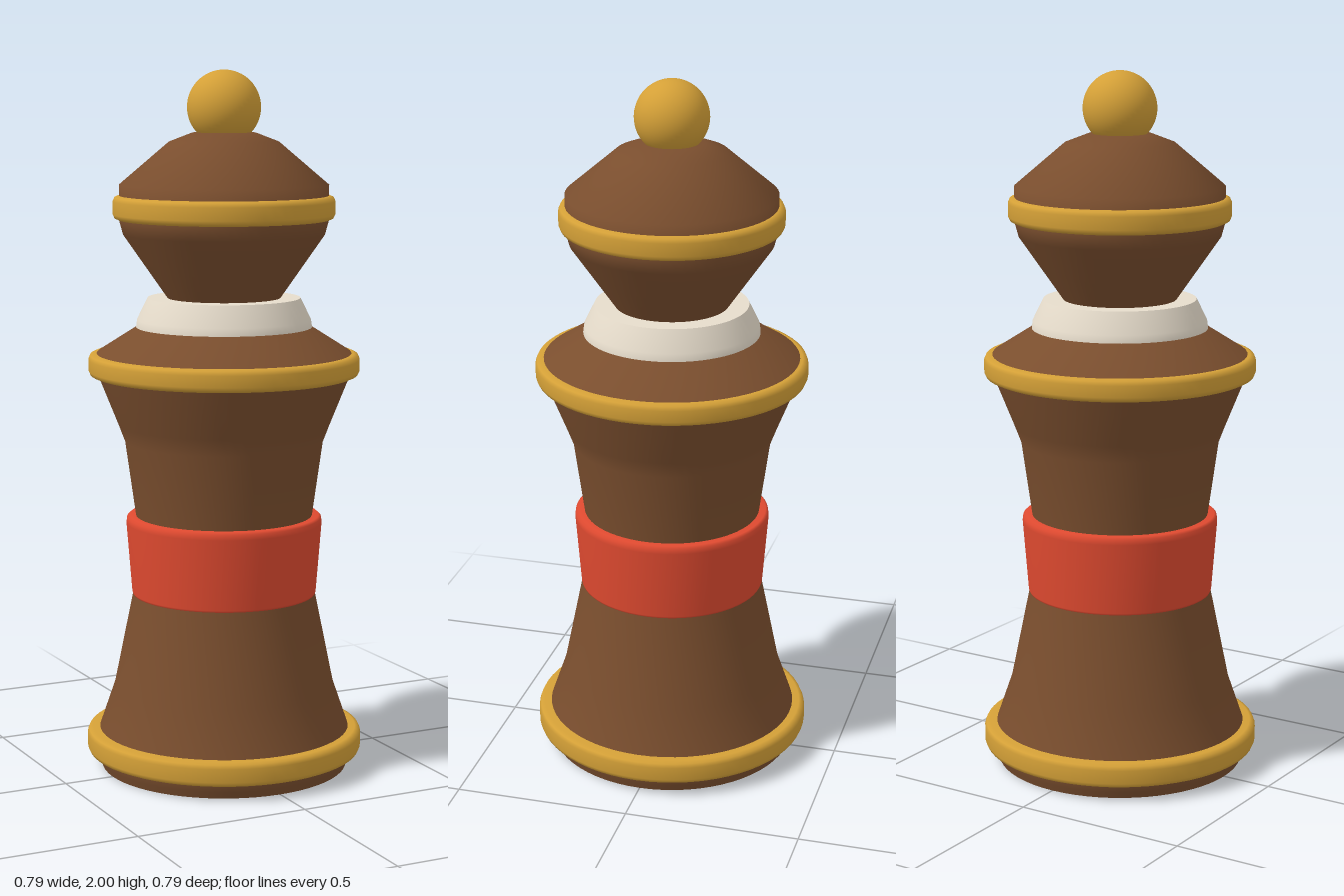
import * as THREE from 'three';

const SEGMENTS = 64;

function material(name, color) {
  const m = new THREE.MeshStandardMaterial({ color });
  m.name = name;
  return m;
}

export function createModel() {
  const wood = material('brown wood', 0x7a4e2e);
  const gold = material('gold', 0xd4a037);
  const red = material('red', 0xe04a30);
  const ivory = material('ivory', 0xe6dccb);
  const group = new THREE.Group();
  group.name = 'turnedPiece';

  const add = (name, geometry, mat) => {
    const mesh = new THREE.Mesh(geometry, mat);
    mesh.name = name;
    group.add(mesh);
    return mesh;
  };
  // Profiles run from bottom to top as [radius, height]
  const turn = (name, profile, mat) =>
    add(name, new THREE.LatheGeometry(profile.map(([r, y]) => new THREE.Vector2(r, y)), SEGMENTS), mat);
  // Rounded gold hoop
  const hoop = (name, r, y0, y1, inner) => {
    const b = 0.016;
    turn(name, [[inner, y0], [r - b, y0], [r - b * 0.3, y0 + b * 0.3], [r, y0 + b],
      [r, y1 - b], [r - b * 0.3, y1 - b * 0.3], [r - b, y1], [inner, y1]], gold);
  };

  // Underside
  const base = add('underside', new THREE.CircleGeometry(0.355, SEGMENTS), wood);
  base.rotation.x = Math.PI / 2;

  // Turned wooden body
  turn('foot', [[0.355, 0], [0.362, 0.02], [0.372, 0.05], [0.368, 0.09]], wood);
  turn('skirt', [[0.368, 0.09], [0.36, 0.115], [0.317, 0.24], [0.262, 0.51], [0.254, 0.6]], wood);
  turn('torso', [[0.235, 0.6], [0.253, 0.735], [0.283, 0.95], [0.302, 1.0], [0.358, 1.14], [0.362, 1.17]], wood);
  turn('shoulder', [[0.37, 1.195], [0.36, 1.207], [0.25, 1.277], [0.2, 1.29]], wood);
  turn('head', [[0.157, 1.35], [0.16, 1.36], [0.285, 1.54], [0.296, 1.58], [0.296, 1.68],
    [0.155, 1.8], [0.09, 1.825], [0, 1.83]], wood);

  // Sash and collar
  turn('sash', [[0.24, 0.505], [0.262, 0.505], [0.265, 0.512], [0.281, 0.715], [0.279, 0.73],
    [0.272, 0.736], [0.24, 0.736]], red);
  turn('collar', [[0.18, 1.278], [0.25, 1.278]], ivory);
  turn('collarSide', [[0.25, 1.278], [0.247, 1.3], [0.217, 1.361]], ivory);
  turn('collarTop', [[0.217, 1.361], [0.14, 1.361]], ivory);

  // Gold trim
  hoop('baseHoop', 0.397, 0.042, 0.112, 0.34);
  hoop('shoulderHoop', 0.386, 1.14, 1.204, 0.34);
  hoop('crownHoop', 0.314, 1.582, 1.65, 0.28);

  // Finial ball
  add('finial', new THREE.SphereGeometry(0.104, 48, 32), gold).position.y = 1.896;

  return group;
}
